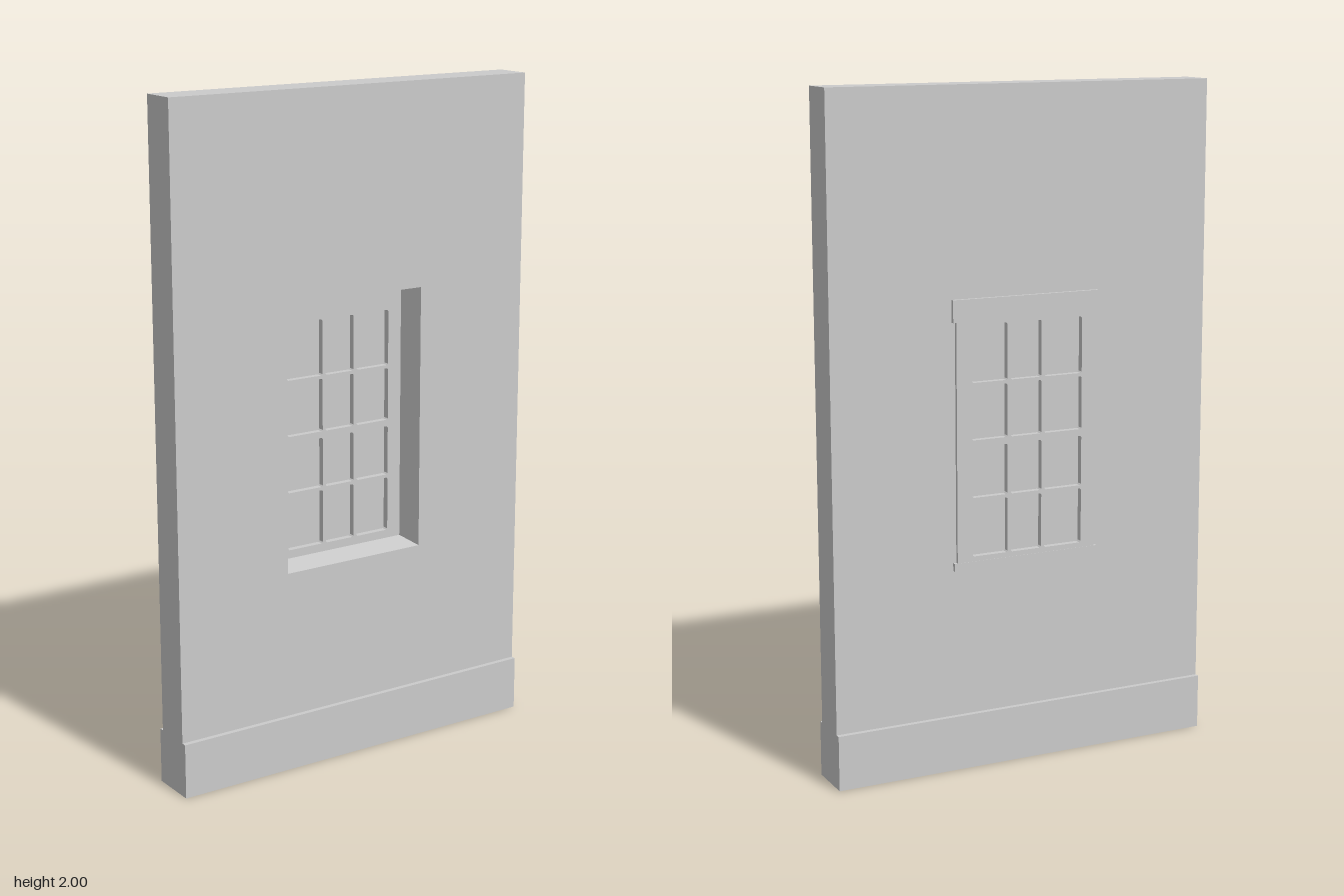
import * as THREE from 'three';

const material = new THREE.MeshStandardMaterial({ color: 0xcccccc, flatShading: true });

// Adds a box given by its two opposite corners.
function box(group, name, [x0, y0, z0], [x1, y1, z1]) {
  const mesh = new THREE.Mesh(new THREE.BoxGeometry(x1 - x0, y1 - y0, z1 - z0), material);
  mesh.position.set((x0 + x1) / 2, (y0 + y1) / 2, (z0 + z1) / 2);
  mesh.name = name;
  group.add(mesh);
}

// Rectangle outline with optionally clipped corners.
function outline(path, x0, y0, x1, y1, c = 0) {
  const points = c
    ? [[x0 + c, y0], [x1 - c, y0], [x1, y0 + c], [x1, y1 - c], [x1 - c, y1], [x0 + c, y1], [x0, y1 - c], [x0, y0 + c]]
    : [[x0, y0], [x1, y0], [x1, y1], [x0, y1]];
  path.setFromPoints(points.map(([x, y]) => new THREE.Vector2(x, y)));
  return path;
}

function extrude(group, name, shape, z0, z1) {
  const geometry = new THREE.ExtrudeGeometry(shape, { depth: z1 - z0, bevelEnabled: false });
  geometry.translate(0, 0, z0);
  const mesh = new THREE.Mesh(geometry, material);
  mesh.name = name;
  group.add(mesh);
  return mesh;
}

export function createModel() {
  const model = new THREE.Group();
  model.name = 'wallWithWindow';
  const half = 0.057;
  const [left, bottom, right, top] = [-0.238, 0.607, 0.229, 1.4];

  // Wall slab with an opening that narrows toward the back
  const wallShape = outline(new THREE.Shape(), -0.6, 0, 0.6, 2);
  wallShape.holes.push(outline(new THREE.Path(), left, bottom, right, top));
  const wall = extrude(model, 'wall', wallShape, -half, half);
  const pos = wall.geometry.attributes.position;
  const cx = (left + right) / 2, cy = (bottom + top) / 2;
  for (let i = 0; i < pos.count; i++) {
    const x = pos.getX(i), y = pos.getY(i);
    if (Math.abs(x) < 0.3 && pos.getZ(i) < 0) {
      pos.setXY(i, x - Math.sign(x - cx) * 0.018, y - Math.sign(y - cy) * 0.018);
    }
  }
  wall.geometry.computeVertexNormals();

  // Plinth projecting on both faces
  box(model, 'plinth', [-0.6, 0, -0.072], [0.6, 0.165, 0.072]);

  // Window frame and glazing bars, cut out for twelve panes
  const frame = outline(new THREE.Shape(), left + 0.01, bottom, right - 0.01, top);
  const columns = [[-0.184, -0.062], [-0.052, 0.047], [0.058, 0.171]];
  const rows = [[0.645, 0.81], [0.82, 0.97], [0.99, 1.148], [1.158, 1.325]];
  for (const [x0, x1] of columns) {
    for (const [y0, y1] of rows) {
      frame.holes.push(outline(new THREE.Path(), x0, y0, x1, y1, 0.004));
    }
  }
  const window = new THREE.Group();
  window.name = 'window';
  model.add(window);
  extrude(window, 'windowFrame', frame, -0.067, -0.025);

  // Pane sheet set in the middle of the bars
  box(window, 'panes', [-0.19, 0.64, -0.048], [0.177, 1.33, -0.044]);

  // Wider head and sill trim on the back
  box(window, 'headTrim', [left, 1.335, -0.068], [right, top, -0.05]);
  box(window, 'sillTrim', [left, bottom, -0.068], [right, 0.63, -0.05]);

  return model;
}
